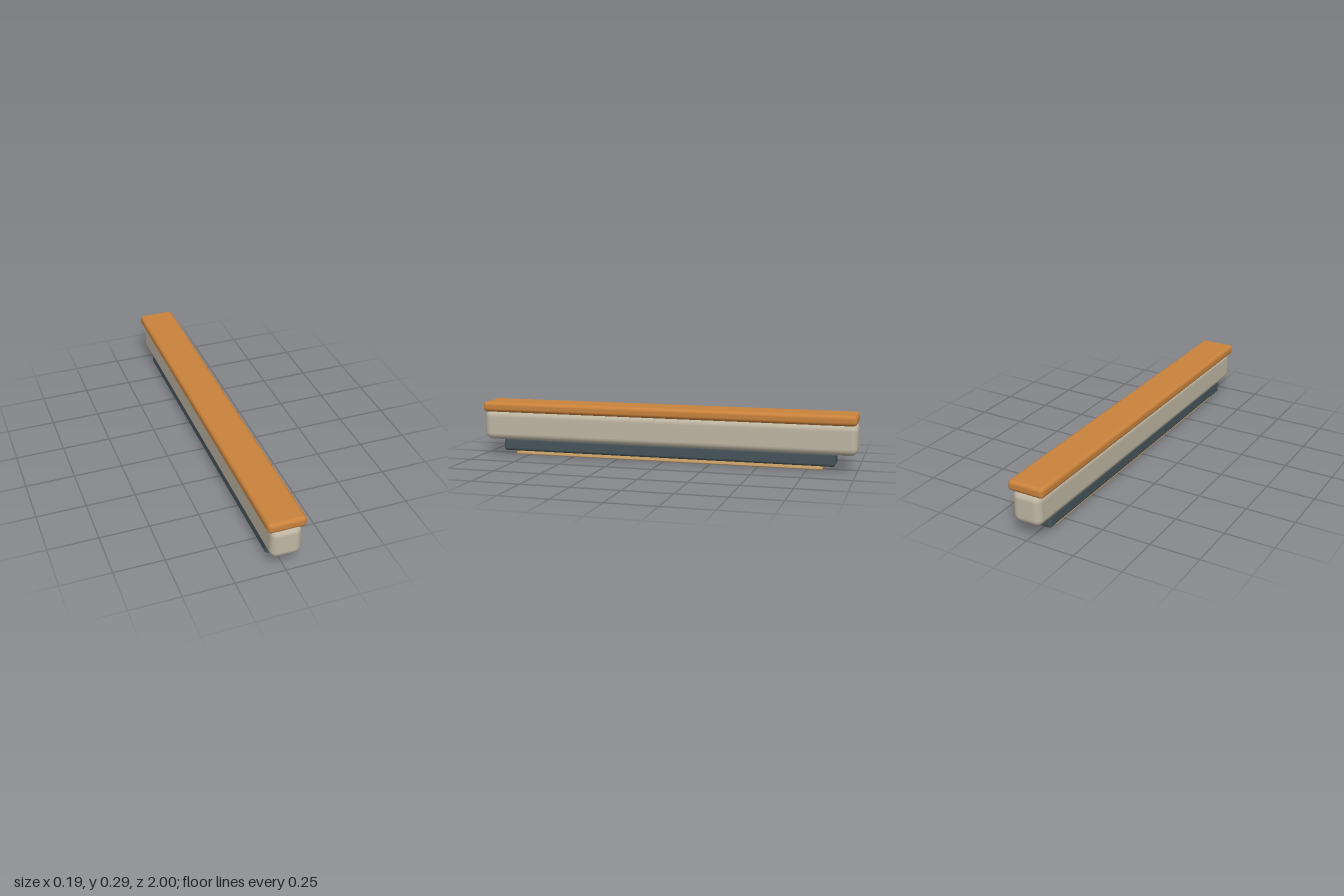
import * as THREE from 'three';
import { RoundedBoxGeometry } from 'three/addons/geometries/RoundedBoxGeometry.js';

// Soft-edged bar centred on x and z, given half width, bottom, top and half length
function bar(name, halfX, y0, y1, halfZ, radius, color) {
  const geometry = new RoundedBoxGeometry(halfX * 2, y1 - y0, halfZ * 2, 3, radius);
  const mesh = new THREE.Mesh(geometry, new THREE.MeshStandardMaterial({ color }));
  mesh.name = name;
  mesh.position.y = (y0 + y1) / 2;
  return mesh;
}

export function createModel() {
  const model = new THREE.Group();
  model.name = 'layeredBeam';
  model.add(
    // wide cap along the top
    bar('topRail', 0.095, 0.234, 0.288, 0.997, 0.02, 0xc9823c),
    // main pale body, slightly longer than the cap
    bar('body', 0.0755, 0.08, 0.241, 1, 0.036, 0xbfb6a3),
    // narrower dark plinth set back under the body
    bar('lowerBlock', 0.06, 0.022, 0.092, 0.893, 0.015, 0x46545a),
    // thin strip on the ground
    bar('baseStrip', 0.042, 0.001, 0.03, 0.828, 0.007, 0xdcae70),
  );
  return model;
}
